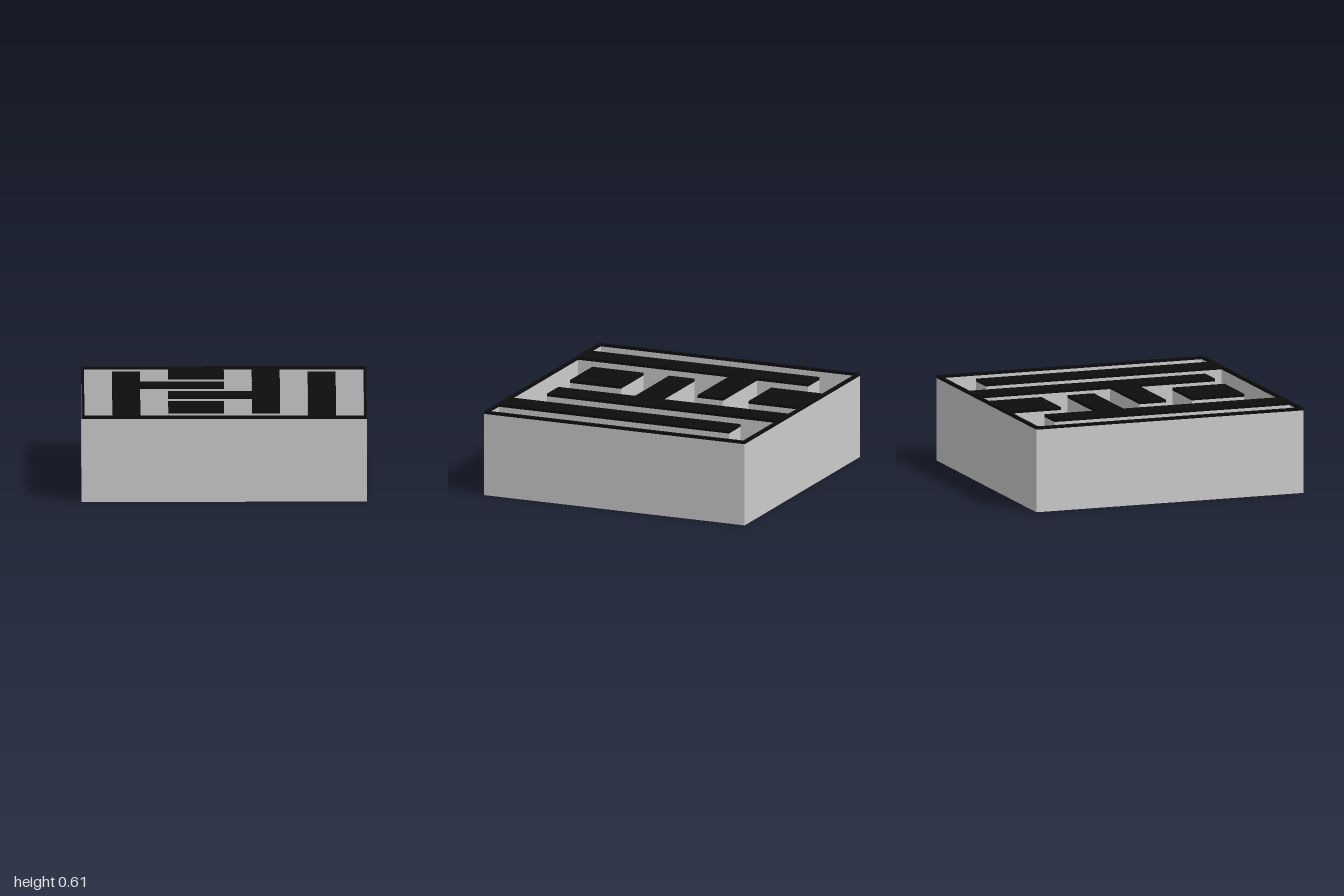
import * as THREE from 'three';

const HEIGHT = 0.61, CAP = 0.02, CELL = 0.196;

// Grid corner (column, row) to plan position (x, z)
const plan = (pts) => pts.map(([c, r]) => new THREE.Vector2((c - 5) * CELL, (r - 5) * CELL));

// Vertical, open-ended wall following a closed plan loop
function ribbon(loop, top) {
  const pos = [];
  loop.forEach((a, i) => {
    const b = loop[(i + 1) % loop.length];
    pos.push(a.x, 0, a.y, a.x, top, a.y, b.x, top, b.y);
    pos.push(a.x, 0, a.y, b.x, top, b.y, b.x, 0, b.y);
  });
  const g = new THREE.BufferGeometry();
  g.setAttribute('position', new THREE.Float32BufferAttribute(pos, 3));
  g.computeVertexNormals();
  return g;
}

export function createModel() {
  const group = new THREE.Group();
  group.name = 'maze';
  const material = (name, color) => {
    const m = new THREE.MeshStandardMaterial({ color, side: THREE.DoubleSide });
    m.name = name;
    return m;
  };
  const grey = material('wall grey', 0xcccccc);
  const black = material('cap black', 0x0d0d0d);
  const green = material('floor green', 0x0e3b23);
  const add = (name, geometry, mat) => {
    const mesh = new THREE.Mesh(geometry, mat);
    mesh.name = name;
    group.add(mesh);
    return mesh;
  };

  // Plan loops: outer square, connected corridor, free-standing block
  const outer = [[-1, -1], [1, -1], [1, 1], [-1, 1]].map(([x, z]) => new THREE.Vector2(x, z));
  const corridor = plan([
    [0, 0], [3, 0], [3, 2], [5, 2], [5, 0], [6, 0], [6, 5], [3, 5], [3, 6], [6, 6],
    [6, 9], [7, 9], [7, 0], [10, 0], [10, 10], [9, 10], [9, 1], [8, 1], [8, 10], [2, 10],
    [2, 4], [5, 4], [5, 3], [2, 3], [2, 1], [1, 1], [1, 10], [0, 10],
  ]);
  const block = plan([[3, 7], [5, 7], [5, 9], [3, 9]]);

  // Hollow walls, open underneath
  add('outerWalls', ribbon(outer, HEIGHT - CAP), grey);
  add('corridorWalls', ribbon(corridor, HEIGHT - CAP), grey);
  add('blockWalls', ribbon(block, HEIGHT - CAP), grey);

  // Black slab over every wall
  const capShape = new THREE.Shape(outer);
  capShape.holes.push(new THREE.Path(corridor));
  const cap = new THREE.ExtrudeGeometry([capShape, new THREE.Shape(block)], { depth: CAP, bevelEnabled: false });
  cap.rotateX(Math.PI / 2);
  add('wallCaps', cap, black).position.y = HEIGHT;

  // Corridor floor
  const floorShape = new THREE.Shape(corridor);
  floorShape.holes.push(new THREE.Path(block));
  add('corridorFloor', new THREE.ShapeGeometry(floorShape).rotateX(Math.PI / 2), green);

  return group;
}
